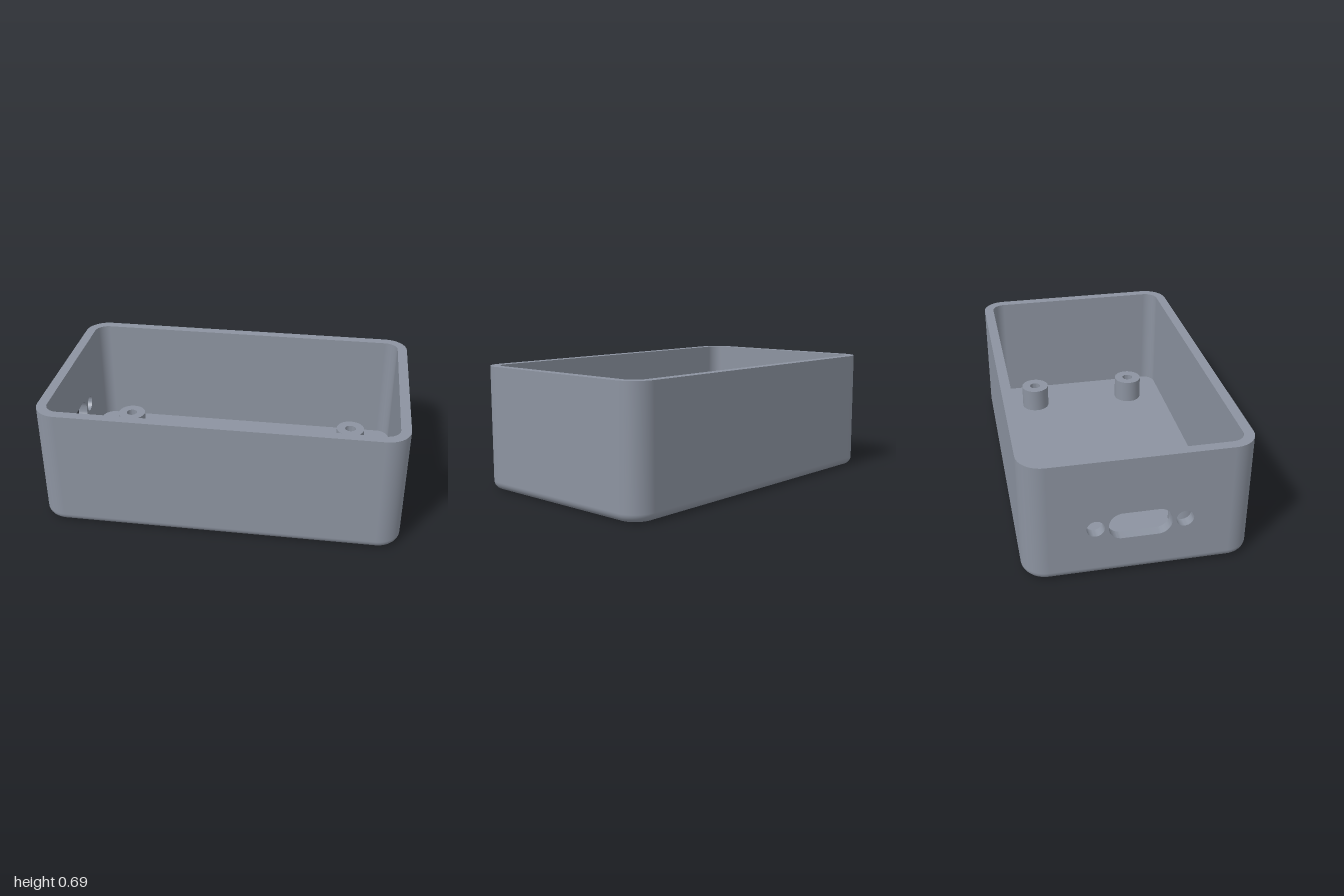
import * as THREE from 'three';
import { toCreasedNormals } from 'three/addons/utils/BufferGeometryUtils.js';

const HX = 1, HZ = 0.6, H = 0.685;        // outer half sizes and height
const R = 0.13, T = 0.055, F = 0.045;     // corner radius, wall thickness, bottom fillet
const SEG = 16;                           // steps per rounded corner

// Sweeps a profile of [inset, y, outward normal, up normal] around the rounded rectangle.
// Strips flagged as open leave out the flat -x side, which the port panel fills.
function sweep(profile, open) {
  const pos = [], nor = [], idx = [];
  const cols = 4 * (SEG + 1);
  for (const [inset, y, nOut, nUp] of profile) {
    for (let c = 0; c < 4; c++) {
      const sx = c === 0 || c === 3 ? 1 : -1, sz = c < 2 ? 1 : -1;
      for (let s = 0; s <= SEG; s++) {
        const a = (c + s / SEG) * Math.PI / 2;
        const dx = Math.cos(a), dz = Math.sin(a);
        pos.push(sx * (HX - R) + dx * (R - inset), y, sz * (HZ - R) + dz * (R - inset));
        nor.push(dx * nOut, nUp, dz * nOut);
      }
    }
  }
  for (let k = 0; k < profile.length - 1; k++) {
    for (let j = 0; j < cols; j++) {
      if (open && j === 2 * SEG + 1) continue;
      const j2 = (j + 1) % cols;
      const a = k * cols + j, b = k * cols + j2, c = a + cols, d = b + cols;
      idx.push(a, c, b, b, c, d);
    }
  }
  const g = new THREE.BufferGeometry();
  g.setAttribute('position', new THREE.Float32BufferAttribute(pos, 3));
  g.setAttribute('normal', new THREE.Float32BufferAttribute(nor, 3));
  g.setIndex(idx);
  return g;
}

// Rounded rectangle outline centred on (cx, cy)
function roundedRect(Kind, cx, cy, hw, hh, r) {
  const p = new Kind();
  p.absarc(cx + hw - r, cy + hh - r, r, 0, Math.PI / 2);
  p.absarc(cx - hw + r, cy + hh - r, r, Math.PI / 2, Math.PI);
  p.absarc(cx - hw + r, cy - hh + r, r, Math.PI, Math.PI * 1.5);
  p.absarc(cx + hw - r, cy - hh + r, r, Math.PI * 1.5, Math.PI * 2);
  p.closePath();
  return p;
}

function circle(Kind, x, y, r) {
  const p = new Kind();
  p.absarc(x, y, r, 0, Math.PI * 2);
  return p;
}

const extrude = (shape, depth) => toCreasedNormals(
  new THREE.ExtrudeGeometry(shape, { depth, bevelEnabled: false, curveSegments: 16 }), 0.5);

export function createModel() {
  const model = new THREE.Group();
  const grey = new THREE.MeshStandardMaterial({ color: 0x8c93a0 });
  grey.name = 'slateGrey';
  const add = (name, geometry) => {
    const mesh = new THREE.Mesh(geometry, grey);
    mesh.name = name;
    model.add(mesh);
    return mesh;
  };

  // Bottom edge fillet
  const fillet = [];
  for (let i = 0; i <= 10; i++) {
    const t = i / 10 * Math.PI / 2;
    fillet.push([F * (1 - Math.sin(t)), F * (1 - Math.cos(t)), Math.sin(t), -Math.cos(t)]);
  }
  add('bottomFillet', sweep(fillet, false));

  // Walls and rim
  add('outerWall', sweep([[0, F, 1, 0], [0, H, 1, 0]], true));
  add('rim', sweep([[0, H, 0, 1], [T, H, 0, 1]], true));
  add('innerWall', sweep([[T, H, -1, 0], [T, T, -1, 0]], true));

  // Underside and inside floor
  const plate = (inset) => new THREE.ShapeGeometry(
    roundedRect(THREE.Shape, 0, 0, HX - inset, HZ - inset, R - inset), SEG);
  add('underside', plate(F).rotateX(Math.PI / 2));
  add('floor', plate(T).rotateX(-Math.PI / 2).translate(0, T, 0));

  // Right wall panel with a connector slot between two screw holes
  const w = HZ - R, portY = 0.29;
  const panel = new THREE.Shape([
    new THREE.Vector2(-w, F), new THREE.Vector2(w, F),
    new THREE.Vector2(w, H), new THREE.Vector2(-w, H)]);
  panel.holes.push(roundedRect(THREE.Path, 0, portY, 0.163, 0.077, 0.07));
  for (const s of [-1, 1]) panel.holes.push(circle(THREE.Path, s * 0.23, portY, 0.046));
  add('portPanel', extrude(panel, T).rotateY(-Math.PI / 2).translate(-(HX - T), 0, 0));

  // Four hollow mounting posts
  const ring = circle(THREE.Shape, 0, 0, 0.085);
  ring.holes.push(circle(THREE.Path, 0, 0, 0.033));
  const post = extrude(ring, 0.14).rotateX(-Math.PI / 2);
  for (const x of [-0.7, 0.7]) {
    for (const z of [-0.315, 0.315]) add('mountingPost', post).position.set(x, T, z);
  }
  return model;
}
